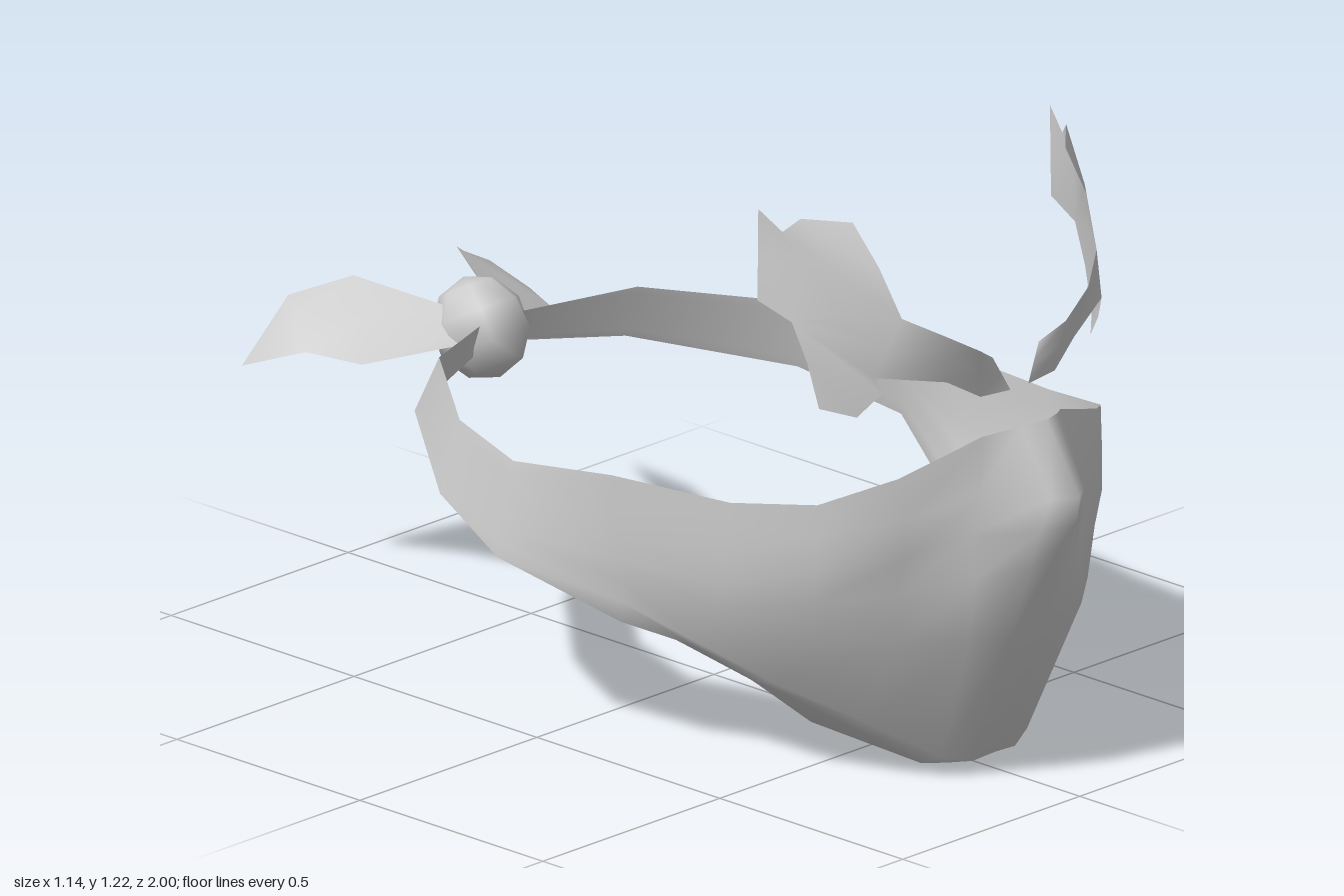
import * as THREE from 'three';
import { mergeGeometries, mergeVertices } from 'three/addons/utils/BufferGeometryUtils.js';

const cloth = new THREE.MeshStandardMaterial({ color: 0xcccccc, side: THREE.DoubleSide });

// Sheet through a list of cross-sections, each a list of [x, y, z] points.
function loft(sections) {
  const rows = sections[0].length;
  const index = [];
  for (let i = 0; i < sections.length - 1; i++) {
    for (let j = 0; j < rows - 1; j++) {
      const a = i * rows + j, b = a + rows;
      index.push(a, a + 1, b, b, a + 1, b + 1);
    }
  }
  const geometry = new THREE.BufferGeometry();
  geometry.setAttribute('position', new THREE.Float32BufferAttribute(sections.flat(2), 3));
  geometry.setIndex(index);
  return geometry;
}

// Mirrored across x = 0, section order reversed so faces stay outward.
const mirror = (sections) =>
  sections.map((s) => s.map(([x, y, z]) => [-x, y, z])).reverse();

// Several sheets welded into one smooth mesh.
function sheet(name, ...parts) {
  const geometry = mergeVertices(mergeGeometries(parts.map(loft)), 1e-4);
  geometry.computeVertexNormals();
  const mesh = new THREE.Mesh(geometry, cloth);
  mesh.name = name;
  return mesh;
}

const lerpRow = (top, bottom, n) =>
  Array.from({ length: n }, (_, k) => top.map((v, c) => v + (bottom[c] - v) * k / (n - 1)));

export function createModel() {
  const group = new THREE.Group();

  // Face cloth: columns from the nose ridge to the cheek, top edge to under the chin
  const centre = [[0, .77, .91], [0, .63, 1], [0, .57, .99], [0, .52, .95],
    [0, .33, .905], [0, .04, .77], [0, .005, .68], [0, .03, .44]];
  const side = [
    [[.05, .765, .89], [.045, .63, .968], [.06, .56, .95], [.06, .48, .925],
      [.08, .33, .89], [.06, .035, .765], [.06, .012, .69], [.07, .035, .43]],
    [[.11, .745, .84], [.13, .63, .85], [.15, .55, .845], [.15, .46, .86],
      [.16, .33, .85], [.12, .05, .74], [.12, .025, .68], [.15, .05, .41]],
    [[.28, .685, .775], [.28, .6, .79], [.28, .52, .79], [.28, .44, .77],
      [.27, .33, .76], [.235, .13, .65], [.22, .102, .58], [.22, .125, .34]],
    [[.4, .635, .67], [.4, .57, .67], [.4, .5, .67], [.39, .42, .65],
      [.38, .34, .61], [.355, .21, .5], [.335, .19, .43], [.28, .19, .27]],
    [[.45, .605, .48], [.45, .56, .48], [.45, .5, .47], [.445, .43, .46],
      [.435, .36, .43], [.405, .265, .36], [.39, .25, .32], [.38, .25, .23]],
  ];

  // Strap: top and bottom edge at each station, running back to the knot
  const strap = [
    [[.485, .598, .19], [.47, .29, .2]],
    [[.535, .585, -.03], [.57, .39, -.04]],
    [[.47, .6, -.24], [.505, .45, -.26]],
    [[.28, .62, -.48], [.298, .5, -.53]],
    [[.04, .6, -.59], [.04, .54, -.6]],
  ].map(([top, bottom]) => lerpRow(top, bottom, centre.length));
  const half = [...side, ...strap];
  group.add(sheet('maskAndStrap', [...mirror(half), centre, ...half]));

  // Knot: a lumpy low ball
  const ball = new THREE.SphereGeometry(1, 7, 5);
  ball.scale(.095, .105, .105);
  ball.rotateX(-.5);
  const knot = new THREE.Mesh(ball, cloth);
  knot.name = 'knot';
  knot.position.set(0, .57, -.635);
  group.add(knot);

  // Tails: folded leaves of cloth with a soft crease
  const tail = (tip, shift) => [
    [[.04, .61, -.64], [.06, .58, -.62], [.08, .56, -.61]],
    [[.13, .655, -.83], [.18, .6, -.75], [.25, .535, -.69]],
    [[.21, .61, -.9], [.245, .59, -.85], [.285, .54, -.78]],
    [tip, tip, tip],
  ].map((s, i) => s.map(([x, y, z]) => i === 3 ? [x, y, z] : [x, y, z - shift * i]));
  group.add(sheet('leftTail', tail([.305, .535, -.96], 0)));
  group.add(sheet('rightTail', mirror(tail([.3, .475, -1], .03))));

  // Brows: inner band, upper lobe and lower prong
  const band = [
    [[.065, .895, .825], [.025, .82, .835]],
    [[.12, .928, .845], [.105, .825, .83]],
    [[.2, .975, .83], [.18, .87, .81]],
    [[.275, 1.02, .78], [.32, .9, .75]],
    [[.345, 1.02, .69], [.4, 1, .6]],
  ].map(([top, bottom]) => lerpRow(top, bottom, 3));
  const lobe = [
    [[.275, 1.02, .78], [.345, 1.02, .69], [.4, 1, .6], [.415, 1.03, .52]],
    [[.293, 1.12, .735], [.35, 1.11, .675], [.375, 1.12, .62], [.413, 1.12, .52]],
    [[.3, 1.2, .67], [.375, 1.21, .6], [.395, 1.18, .57], [.412, 1.22, .52]],
  ];
  const prong = [
    [[.33, .81, .71], [.385, .83, .66]],
    [[.305, .865, .755], [.392, .92, .635]],
    [[.32, .9, .75], [.4, 1, .6]],
  ];
  const brow = [band, lobe, prong];
  group.add(sheet('leftBrow', ...brow));
  group.add(sheet('rightBrow', ...brow.map(mirror)));

  return group;
}
